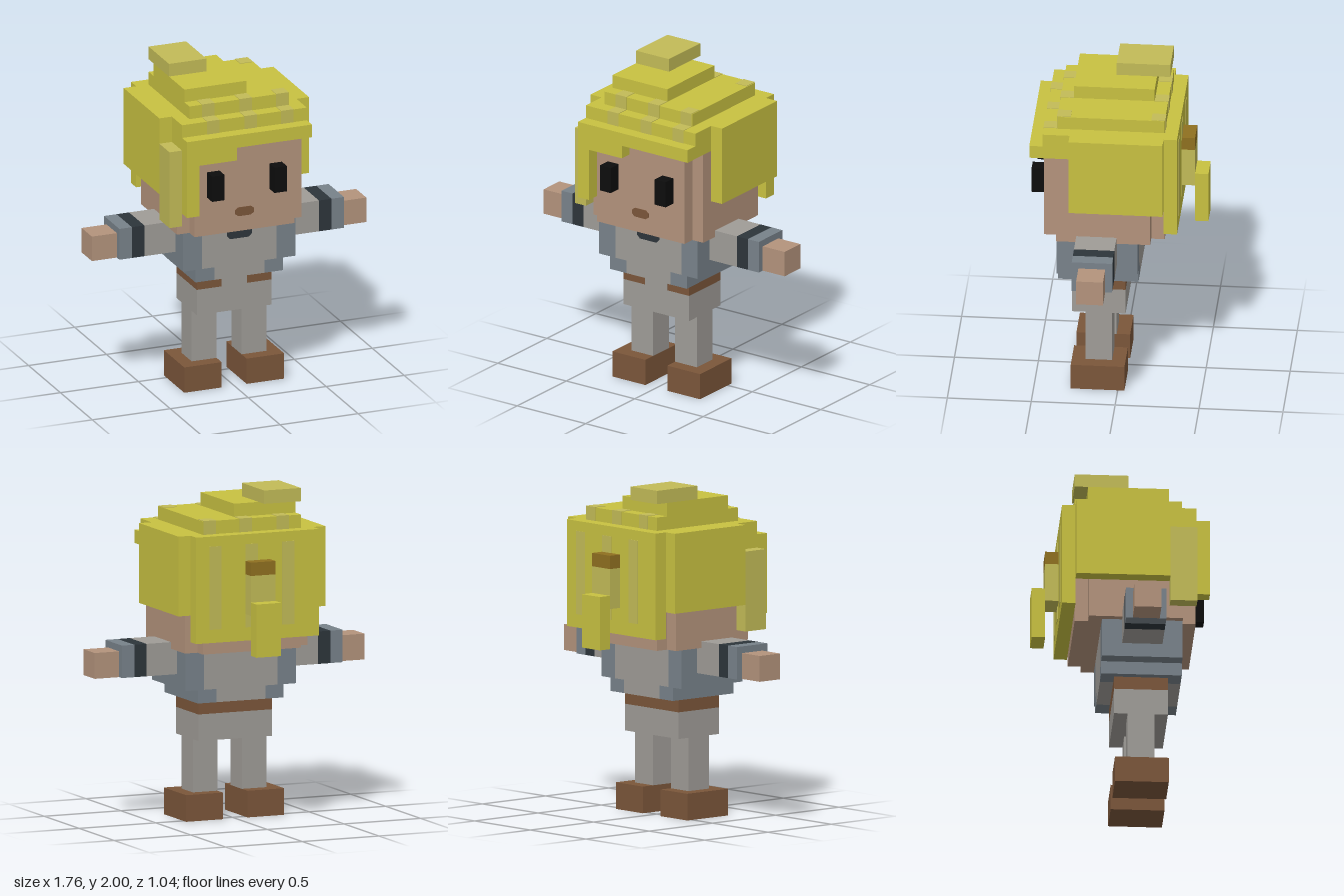
import * as THREE from 'three';

const mat = (name, color) => Object.assign(new THREE.MeshStandardMaterial({ color }), { name });

export function createModel() {
  const root = new THREE.Group();
  root.name = 'blockyFigure';
  const hair = mat('hairYellow', 0xc8c141);
  const paleHair = mat('hairPale', 0xc2bb57);
  const skin = mat('skin', 0xb3937c);
  const brown = mat('leatherBrown', 0x7b563a);
  const grey = mat('clothGrey', 0x9f9c97);
  const blue = mat('slateBlue', 0x78828a);
  const dark = mat('darkTrim', 0x2d353b);
  const black = mat('eyeBlack', 0x0d0d0d);
  const ochre = mat('hairBand', 0x8f7020);

  // box from its minimum and maximum limits on each axis
  function box(name, m, x0, x1, y0, y1, z0, z1) {
    const mesh = new THREE.Mesh(new THREE.BoxGeometry(x1 - x0, y1 - y0, z1 - z0), m);
    mesh.position.set((x0 + x1) / 2, (y0 + y1) / 2, (z0 + z1) / 2);
    mesh.name = name;
    root.add(mesh);
  }
  // mirrored pair of boxes
  function pair(name, m, x0, x1, ...rest) {
    box(name + 'Left', m, x0, x1, ...rest);
    box(name + 'Right', m, -x1, -x0, ...rest);
  }
  // thin painted plate on a front face
  function plate(name, m, points, z) {
    const shape = new THREE.Shape(points.map(([x, y]) => new THREE.Vector2(x, y)));
    const mesh = new THREE.Mesh(new THREE.ExtrudeGeometry(shape, { depth: 0.004, bevelEnabled: false }), m);
    mesh.position.z = z;
    mesh.name = name;
    root.add(mesh);
  }

  // legs and hips
  pair('boot', brown, 0.08, 0.32, 0, 0.16, -0.04, 0.28);
  pair('leg', grey, 0.08, 0.24, 0.16, 0.48, 0.04, 0.2);
  box('hips', grey, -0.24, 0.24, 0.48, 0.64, -0.04, 0.28);
  box('belt', brown, -0.24, 0.24, 0.64, 0.72, -0.04, 0.28);
  box('beltGap', grey, -0.08, 0.08, 0.64, 0.72, 0.27, 0.284);

  // tunic with slate sides
  box('tunicHem', grey, -0.16, 0.16, 0.72, 0.8, -0.12, 0.36);
  pair('tunicHemSide', blue, 0.16, 0.28, 0.72, 0.8, -0.12, 0.36);
  box('tunic', grey, -0.24, 0.24, 0.8, 1.04, -0.12, 0.36);
  pair('tunicSide', blue, 0.24, 0.36, 0.8, 1.04, -0.12, 0.36);
  plate('collar', dark, [[-0.06, 0.965], [0.06, 0.965], [0.08, 0.985], [0.08, 1.04], [-0.08, 1.04], [-0.08, 0.985]], 0.36);

  // arms
  pair('sleeve', grey, 0.34, 0.56, 0.885, 1.08, 0, 0.24);
  pair('sleeveBand', dark, 0.56, 0.64, 0.885, 1.08, 0, 0.24);
  pair('cuff', blue, 0.64, 0.72, 0.885, 1.08, 0, 0.24);
  pair('hand', skin, 0.72, 0.88, 0.885, 1.04, 0.04, 0.2);

  // head and face
  box('head', skin, -0.32, 0.32, 1.04, 1.6, -0.28, 0.44);
  pair('headSide', skin, 0.32, 0.4, 1.04, 1.6, -0.2, 0.36);
  pair('eye', black, 0.16, 0.24, 1.28, 1.44, 0.44, 0.52);
  plate('mouth', brown, [[-0.04, 1.135], [0.04, 1.135], [0.06, 1.15], [0.06, 1.175], [0.04, 1.19], [-0.04, 1.19], [-0.06, 1.175], [-0.06, 1.15]], 0.44);

  // hair: cap, tiers and tip
  box('hairCap', hair, -0.4, 0.4, 1.6, 1.76, -0.28, 0.44);
  box('hairTierLow', hair, -0.32, 0.32, 1.76, 1.84, -0.28, 0.36);
  box('hairTierHigh', hair, -0.32, 0.08, 1.84, 1.92, -0.2, 0.28);
  box('hairTip', paleHair, -0.32, -0.08, 1.92, 2, -0.28, 0.04);

  // hair: sides, back and fringe
  pair('hairSide', hair, 0.4, 0.48, 1.28, 1.76, -0.28, 0.28);
  box('hairBack', hair, -0.4, 0.4, 1.12, 1.76, -0.36, -0.28);
  box('sideLock', paleHair, -0.48, -0.4, 1.12, 1.6, 0.28, 0.44);
  box('fringe', hair, -0.4, 0.4, 1.6, 1.68, 0.44, 0.52);
  box('fringeSweep', hair, -0.4, -0.08, 1.52, 1.6, 0.44, 0.52);
  box('fringeLock', hair, -0.4, -0.32, 1.2, 1.52, 0.44, 0.52);

  // pale streaks laid over the hair
  for (const x of [-0.24, 0, 0.235]) {
    const x1 = x + 0.08;
    box('streakCapFront', paleHair, x, x1, 1.68, 1.763, 0.36, 0.443);
    box('streakTierFront', paleHair, x, x1, 1.76, 1.843, 0.28, 0.363);
    box('streakTierBack', paleHair, x, x1, 1.76, 1.843, -0.283, -0.2);
    box('streakBack', paleHair, x, x1, 1.2, 1.7, -0.363, -0.355);
  }

  // ponytail
  box('hairBand', ochre, -0.08, 0.08, 1.52, 1.6, -0.44, -0.36);
  box('ponytailUpper', paleHair, -0.08, 0.08, 1.28, 1.52, -0.44, -0.36);
  box('ponytailLower', hair, -0.08, 0.08, 1.04, 1.36, -0.52, -0.44);

  return root;
}
